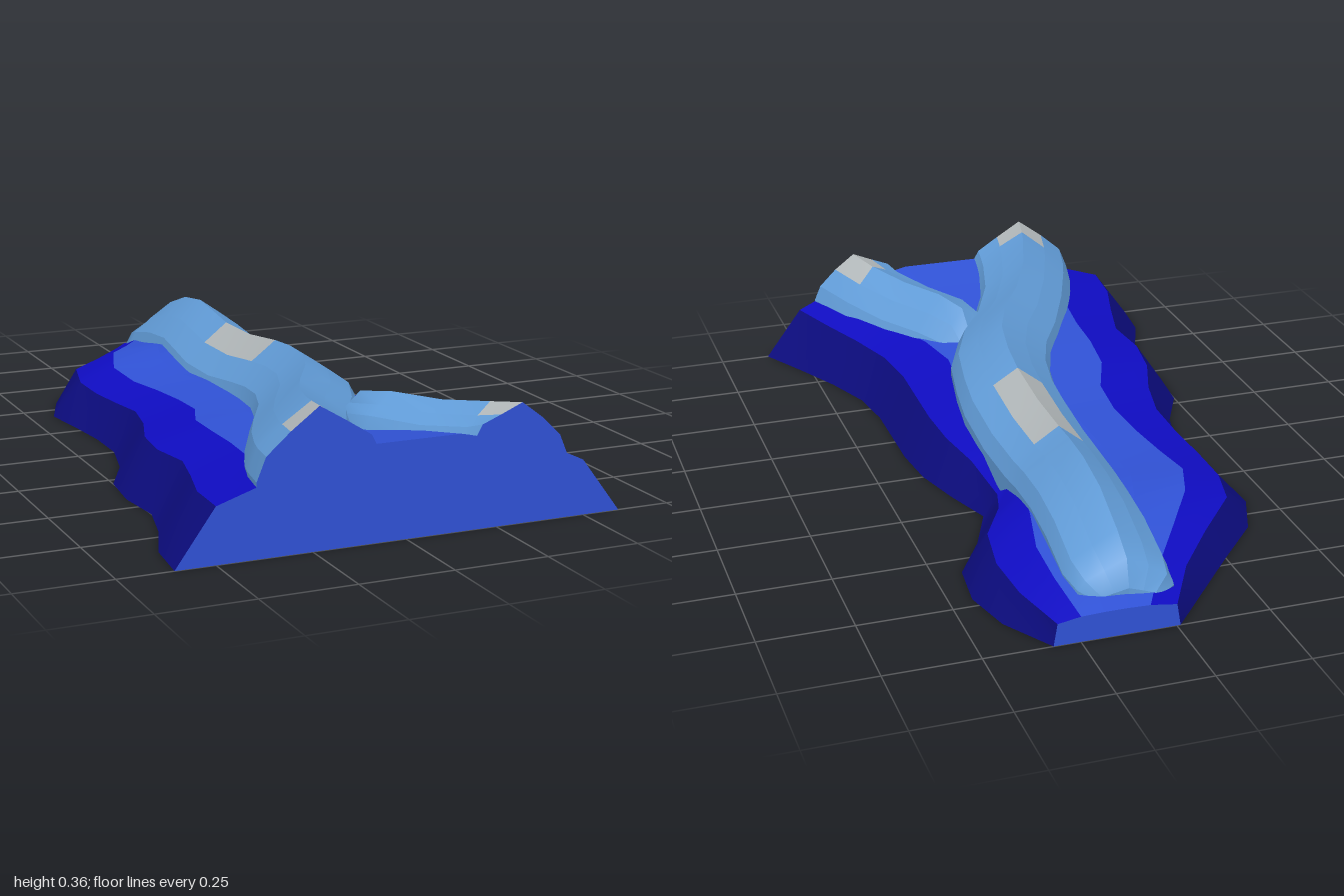
import * as THREE from 'three';

const mat = (name, color, side = THREE.FrontSide) => {
  const m = new THREE.MeshStandardMaterial({ color, side });
  m.name = name;
  return m;
};

export function createModel() {
  const model = new THREE.Group();
  model.name = 'ridgeTerrain';
  const navy = mat('navy', 0x0c0c80);
  const deepBlue = mat('deepBlue', 0x0f0cc2);
  const royal = mat('royalBlue', 0x3052d6);
  const sky = mat('skyBlue', 0x629dd9, THREE.DoubleSide);
  const grey = mat('paleGrey', 0xb2b8ba, THREE.DoubleSide);

  const add = (name, geo, material, parent = model) => {
    const m = new THREE.Mesh(geo, material);
    m.name = name;
    parent.add(m);
    return m;
  };

  // One lengthwise strip between columns j and j+1: smooth along, creased across
  function strip(sections, j) {
    const pos = [], idx = [];
    sections.forEach((s, i) => {
      pos.push(...s[j], ...s[j + 1]);
      if (i < sections.length - 1) {
        const a = i * 2;
        idx.push(a, a + 2, a + 1, a + 1, a + 2, a + 3);
      }
    });
    const g = new THREE.BufferGeometry();
    g.setAttribute('position', new THREE.Float32BufferAttribute(pos, 3));
    g.setIndex(idx);
    g.computeVertexNormals();
    return g;
  }

  const flat = pts => new THREE.ShapeGeometry(new THREE.Shape(pts.map(p => new THREE.Vector2(p[0], p[1]))));

  // Base stations from back (z = -1) to front (z = 1), evenly spaced:
  // left foot, shelf, plateau | right plateau, shelf, foot | shelf, plateau and middle heights
  const rows = [
    [-0.01, 0.0, 0.07, 0.25, 0.31, 0.32, 0.06, 0.07, 0.072],
    [-0.13, -0.08, -0.01, 0.27, 0.36, 0.405, 0.08, 0.105, 0.11],
    [-0.25, -0.19, -0.1, 0.27, 0.375, 0.44, 0.09, 0.12, 0.13],
    [-0.375, -0.31, -0.19, 0.24, 0.355, 0.425, 0.1, 0.14, 0.15],
    [-0.43, -0.345, -0.24, 0.21, 0.28, 0.34, 0.095, 0.13, 0.14],
    [-0.41, -0.345, -0.23, 0.2, 0.24, 0.28, 0.095, 0.12, 0.13],
    [-0.395, -0.335, -0.21, 0.2, 0.27, 0.33, 0.1, 0.125, 0.14],
    [-0.395, -0.33, -0.2, 0.2, 0.3, 0.37, 0.11, 0.13, 0.145],
    [-0.43, -0.36, -0.21, 0.2, 0.31, 0.385, 0.115, 0.14, 0.15],
    [-0.5, -0.41, -0.265, 0.18, 0.31, 0.385, 0.12, 0.15, 0.16],
    [-0.515, -0.43, -0.28, 0.17, 0.31, 0.385, 0.125, 0.16, 0.17],
    [-0.5, -0.415, -0.285, 0.2, 0.33, 0.405, 0.13, 0.165, 0.185],
    [-0.535, -0.45, -0.3, 0.26, 0.38, 0.46, 0.135, 0.17, 0.2],
    [-0.59, -0.49, -0.33, 0.34, 0.44, 0.53, 0.14, 0.18, 0.225],
    [-0.605, -0.5, -0.36, 0.4, 0.495, 0.605, 0.145, 0.19, 0.25],
  ];
  const sections = rows.map(([l, nl, ml, mr, nr, r, yn, ym, yc], i) => {
    const z = -1 + i / 7;
    const dip = i === 5 ? 0.035 : 0; // notch in the right shelf
    const w = (mr - ml) / 3;
    return [[l, 0, z], [nl, yn, z], [ml, ym, z], [ml + w, yc, z], [mr - w, yc, z],
      [mr, ym - dip / 2, z], [nr, yn - dip, z], [r, 0, z]];
  });

  // Base slopes, shelves and plateau
  const base = new THREE.Group();
  base.name = 'base';
  model.add(base);
  [['leftSlope', navy], ['leftShelf', deepBlue], ['plateauLeft', royal], ['plateauMiddle', royal],
    ['plateauRight', royal], ['rightShelf', deepBlue], ['rightSlope', navy]]
    .forEach(([name, m], j) => add(name, strip(sections, j), m, base));

  // Cut ends and underside
  add('frontEnd', flat(sections[14]).translate(0, 0, 1), royal, base);
  add('backEnd', flat(sections[0].map(p => [-p[0], p[1]])).rotateY(Math.PI).translate(0, 0, -1), royal, base);
  const outline = [...sections.map(s => [s[0][0], s[0][2]]),
    ...sections.map(s => [s[7][0], s[7][2]]).reverse()];
  add('underside', flat(outline).rotateX(Math.PI / 2), navy, base);

  // Ridge: stations are [x, crest height, z, half width, drop scale]; the front end is cut square
  const across = [-1, -1, -0.85, -0.46, 0, 0.46, 0.85, 1, 1];
  function ridge(name, path, drops, isGrey) {
    const g = new THREE.Group();
    g.name = name;
    model.add(g);
    const last = path.length - 1;
    const secs = path.map(([x, y, z, w, s], i) => {
      const a = path[Math.max(i - 1, 0)], b = path[Math.min(i + 1, last)];
      const dir = new THREE.Vector2(b[0] - a[0], b[2] - a[2]).normalize();
      if (i === last) dir.set(0, 1);
      return across.map((t, k) => {
        const edge = k === 0 || k === across.length - 1;
        const py = edge ? 0.04 : Math.max(0.05, y - drops[k - 1] * s);
        return [x + t * w * dir.y, py, z - t * w * dir.x];
      });
    });
    for (let j = 0; j < across.length - 1; j++) {
      const geo = strip(secs, j);
      const crest = j === 3 || j === 4;
      for (let i = 0; i < last; i++) geo.addGroup(i * 6, 6, crest && isGrey(i) ? 1 : 0);
      add('ridgeStrip', geo, [sky, grey], g);
    }
    // Front cut face and blunt back tip
    add('ridgeFrontFace', flat(secs[last]).translate(0, 0, 1), royal, g);
    const tip = secs[0].map(p => [path[0][0], 0.04, p[2]]);
    for (let j = 0; j < across.length - 1; j++) add('ridgeTip', strip([tip, secs[0]], j), sky, g);
  }

  ridge('mainRidge', [
    [0.11, 0.1, -0.955, 0.08, 0.2], [0.108, 0.17, -0.93, 0.125, 0.55], [0.108, 0.215, -0.86, 0.14, 0.8],
    [0.1, 0.262, -0.71, 0.14, 0.95], [0.095, 0.28, -0.57, 0.14, 1], [0.085, 0.27, -0.43, 0.145, 1],
    [0.08, 0.26, -0.33, 0.15, 1], [0.08, 0.262, -0.15, 0.155, 1], [0.08, 0.283, 0.03, 0.155, 1],
    [0.07, 0.295, 0.15, 0.15, 1], [0.045, 0.305, 0.29, 0.15, 1], [-0.01, 0.31, 0.43, 0.145, 1],
    [-0.09, 0.31, 0.57, 0.14, 1], [-0.16, 0.328, 0.72, 0.14, 1], [-0.205, 0.345, 0.86, 0.15, 1],
    [-0.22, 0.352, 0.92, 0.155, 1], [-0.235, 0.36, 1, 0.162, 1],
  ], [0.17, 0.11, 0.055, 0, 0.045, 0.085, 0.13], i => i === 6 || i === 7 || i === 15);

  ridge('branchRidge', [
    [0.075, 0.19, 0.51, 0.06, 0.6], [0.085, 0.262, 0.565, 0.09, 1], [0.13, 0.278, 0.66, 0.115, 1],
    [0.205, 0.28, 0.79, 0.12, 1], [0.275, 0.297, 0.91, 0.12, 1], [0.315, 0.312, 1, 0.13, 1],
  ], [0.08, 0.045, 0.025, 0, 0.045, 0.095, 0.14], i => i === 4);

  return model;
}
